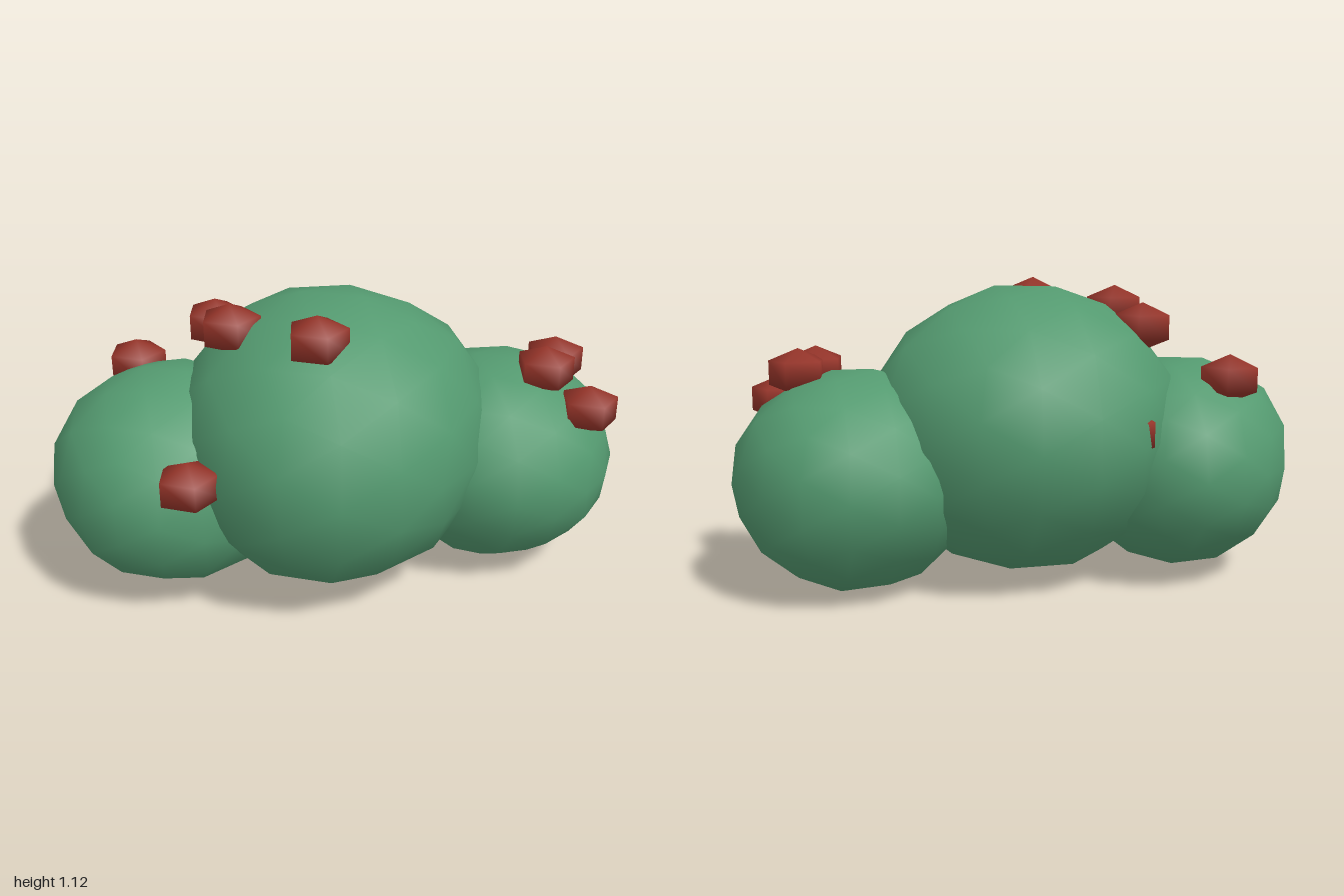
import * as THREE from 'three';
import { mergeVertices } from 'three/addons/utils/BufferGeometryUtils.js';

// Small seeded generator for the lumpy foliage
function seeded(seed) {
  let s = seed;
  return () => (s = (s * 16807) % 2147483647) / 2147483647;
}

// Coarse smooth-shaded ball: vertices jittered and swollen around the given bump directions
function lumpyBall(bumps, seed) {
  const rand = seeded(seed);
  let geo = new THREE.IcosahedronGeometry(1, 2);
  geo.deleteAttribute('uv');
  geo.deleteAttribute('normal');
  geo = mergeVertices(geo, 1e-3);
  const pos = geo.attributes.position;
  const v = new THREE.Vector3();
  const dirs = bumps.map(([x, y, z, push]) => [new THREE.Vector3(x, y, z).normalize(), push]);
  for (let i = 0; i < pos.count; i++) {
    v.fromBufferAttribute(pos, i);
    let r = 1 + (rand() - 0.5) * 0.03;
    for (const [dir, push] of dirs) r += push * Math.exp(-9 * (1 - v.dot(dir)));
    v.multiplyScalar(r);
    pos.setXYZ(i, v.x, v.y, v.z);
  }
  geo.computeVertexNormals();
  return geo;
}

export function createModel() {
  const group = new THREE.Group();
  group.name = 'berryBush';
  const leafGreen = new THREE.MeshStandardMaterial({ color: 0x549a70 });
  leafGreen.name = 'leafGreen';
  const berryRed = new THREE.MeshStandardMaterial({ color: 0x953429 });
  berryRed.name = 'berryRed';

  // Three overlapping foliage clumps: centre, radii, bumps (direction, push)
  const clumps = [
    ['middleFoliage', [-0.015, 0.57, 0.07], [0.57, 0.54, 0.61],
      [[0.8, 0.25, -0.6, 0.07], [-0.85, 0.55, -0.2, 0.05], [-0.9, 0.05, -0.45, 0.05],
        [0, 0.35, 0.93, 0.04], [0, -1, 0, 0.02]], 4711],
    ['rightFoliage', [-0.585, 0.435, 0.265], [0.41, 0.4, 0.465],
      [[0.75, -0.65, 0.2, 0.1], [-0.85, 0.5, 0.2, 0.05], [-0.5, 0, -0.85, 0.05],
        [-0.65, -0.65, 0.3, 0.02]], 90210],
    ['leftFoliage', [0.54, 0.415, -0.26], [0.44, 0.4, 0.465],
      [[-0.8, 0.2, -0.6, 0.06], [0.97, -0.15, -0.15, 0.04], [0, -0.95, -0.25, 0.04],
        [0, 0.5, -0.87, 0.04], [0.2, -0.45, -0.87, 0.04], [0, -0.5, 0.87, -0.05],
        [-0.6, -0.75, 0, 0.03]], 31337],
  ];
  for (const [name, centre, radii, bumps, seed] of clumps) {
    const clump = new THREE.Mesh(lumpyBall(bumps, seed), leafGreen);
    clump.name = name;
    clump.position.set(...centre);
    clump.scale.set(...radii);
    group.add(clump);
  }

  // Five-sided squashed berries, one corner towards the back
  const berryGeo = new THREE.SphereGeometry(0.123, 5, 3);
  berryGeo.rotateY(-Math.PI / 2);
  berryGeo.scale(1, 0.72, 1);
  const berries = [
    [-0.78, 0.775, 0.1], [-0.46, 0.96, 0.08], [-0.325, 1.015, 0.265],
    [0.022, 1.04, 0.36], [-0.345, 0.585, 0.64], [0.735, 0.8, -0.315],
    [0.715, 0.8, -0.205], [0.885, 0.68, -0.165], [-0.45, 0.61, -0.19],
  ];
  berries.forEach((p, i) => {
    const berry = new THREE.Mesh(berryGeo, berryRed);
    berry.name = `berry${i + 1}`;
    berry.position.set(...p);
    group.add(berry);
  });
  return group;
}
